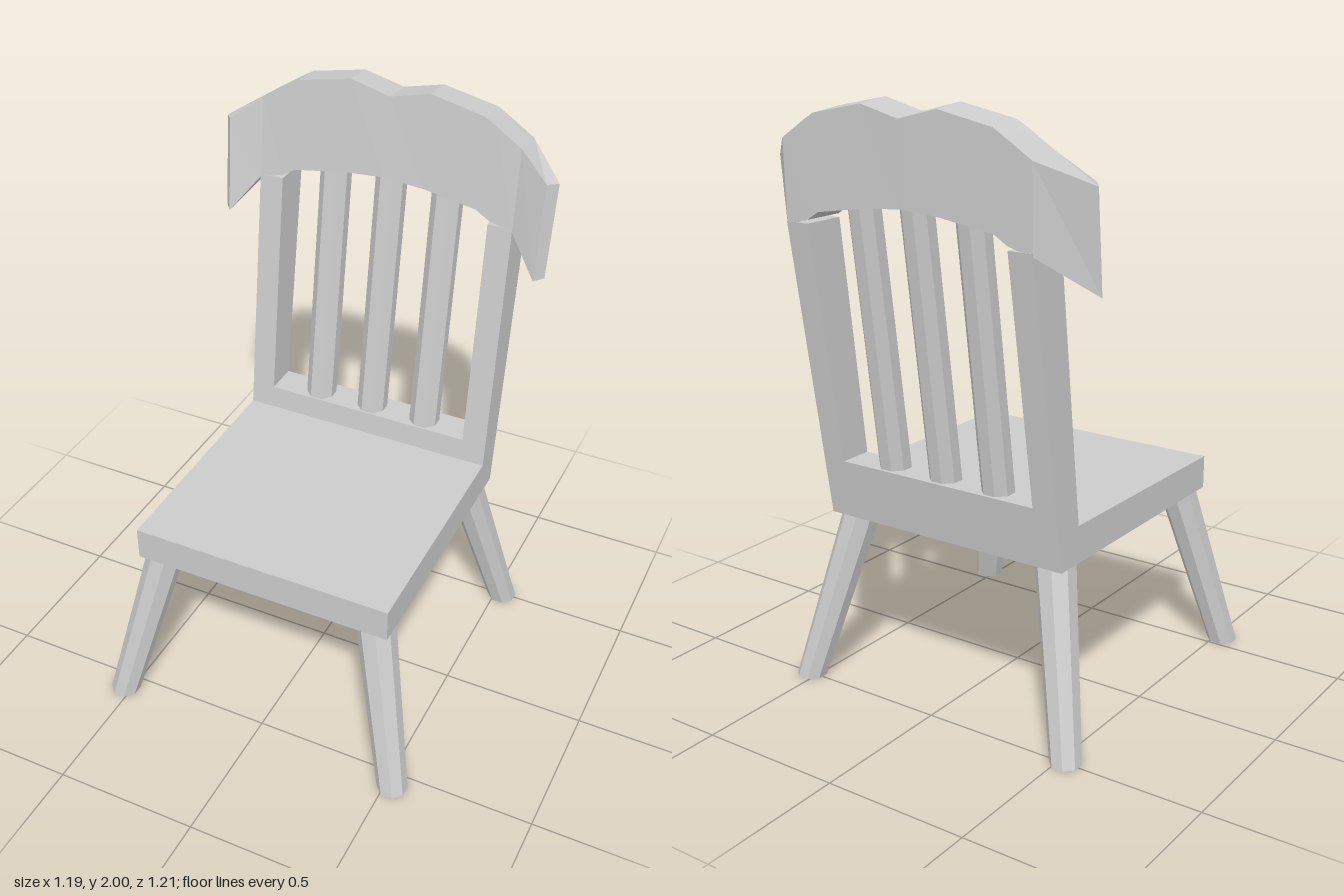
import * as THREE from 'three';

const material = new THREE.MeshStandardMaterial({ color: 0xcccccc, flatShading: true, side: THREE.DoubleSide });

function part(name, geometry) {
  const mesh = new THREE.Mesh(geometry, material);
  mesh.name = name;
  return mesh;
}

// Side profile of [z, y] points, extruded from x0 to x1
function sideExtrude(points, x0, x1) {
  const shape = new THREE.Shape(points.map(([z, y]) => new THREE.Vector2(-z, y)));
  return new THREE.ExtrudeGeometry(shape, { depth: x1 - x0, bevelEnabled: false })
    .rotateY(Math.PI / 2).translate(x0, 0, 0);
}

// Eight-sided rod with level ends, sheared from a bottom to a top centre
function rod(bottom, top, rBottom, rTop) {
  const h = top[1] - bottom[1];
  const g = new THREE.CylinderGeometry(rTop, rBottom, h, 8).rotateY(Math.PI / 8);
  const p = g.attributes.position;
  for (let i = 0; i < p.count; i++) {
    const t = p.getY(i) / h + 0.5;
    p.setXYZ(i,
      p.getX(i) + THREE.MathUtils.lerp(bottom[0], top[0], t),
      bottom[1] + t * h,
      p.getZ(i) + THREE.MathUtils.lerp(bottom[2], top[2], t));
  }
  g.computeVertexNormals();
  return g;
}

// Loft through four-cornered rings (front top, front bottom, rear bottom, rear top)
function loft(rings) {
  const index = [];
  const last = (rings.length - 1) * 4;
  for (let a = 0; a < last; a += 4) {
    for (let i = 0; i < 4; i++) {
      const j = (i + 1) % 4;
      index.push(a + i, a + j, a + 4 + j, a + i, a + 4 + j, a + 4 + i);
    }
  }
  index.push(0, 2, 1, 0, 3, 2, last, last + 1, last + 2, last, last + 2, last + 3);
  const g = new THREE.BufferGeometry();
  g.setAttribute('position', new THREE.Float32BufferAttribute(rings.flat(2), 3));
  g.setIndex(index);
  const flat = g.toNonIndexed();
  flat.computeVertexNormals();
  return flat;
}

export function createModel() {
  const chair = new THREE.Group();
  chair.name = 'chair';

  // Seat slab with the lower back rail
  chair.add(part('seat', sideExtrude([
    [0.49, 0.595], [0.49, 0.71], [-0.335, 0.72], [-0.345, 0.8], [-0.463, 0.8], [-0.43, 0.595],
  ], -0.46, 0.46)));

  // Leaning back posts, widening towards the top
  const post = [[-0.345, 0.8], [-0.444, 1.61], [-0.592, 1.61], [-0.463, 0.8]];
  chair.add(part('leftPost', sideExtrude(post, 0.375, 0.46)));
  chair.add(part('rightPost', sideExtrude(post, -0.46, -0.375)));

  // Spindles
  for (const x of [-0.205, 0, 0.205]) {
    chair.add(part('spindle', rod([x, 0.79, -0.4], [x, 1.71, -0.525], 0.054, 0.054)));
  }

  // Splayed, tapered legs
  for (const s of [-1, 1]) {
    const side = s > 0 ? 'Left' : 'Right';
    chair.add(part('front' + side + 'Leg', rod([s * 0.525, 0, 0.557], [s * 0.39, 0.6, 0.422], 0.052, 0.067)));
    chair.add(part('back' + side + 'Leg', rod([s * 0.525, 0, -0.498], [s * 0.39, 0.6, -0.358], 0.052, 0.067)));
  }

  // Crest rail stations: x, top y, bottom y, front top z, front bottom z, rear z
  const half = [
    [0, 1.965, 1.69, -0.485, -0.455, -0.603],
    [0.14, 2, 1.68, -0.486, -0.454, -0.602],
    [0.33, 1.962, 1.65, -0.48, -0.449, -0.599],
    [0.375, 1.935, 1.622, -0.478, -0.447, -0.598],
    [0.46, 1.88, 1.6, -0.475, -0.444, -0.596],
  ].map(([x, top, bottom, ft, fb, r]) => [
    [x, top, ft], [x, bottom, fb], [x, bottom, r + 0.007], [x, top - 0.012, r],
  ]);
  // Wing tip, swept forward and down
  half.push([[0.565, 1.8, -0.43], [0.56, 1.47, -0.392], [0.588, 1.47, -0.428], [0.595, 1.793, -0.468]]);
  const mirrored = half.slice(1).reverse().map(ring => ring.map(([x, y, z]) => [-x, y, z]));
  chair.add(part('crestRail', loft([...mirrored, ...half])));

  return chair;
}
